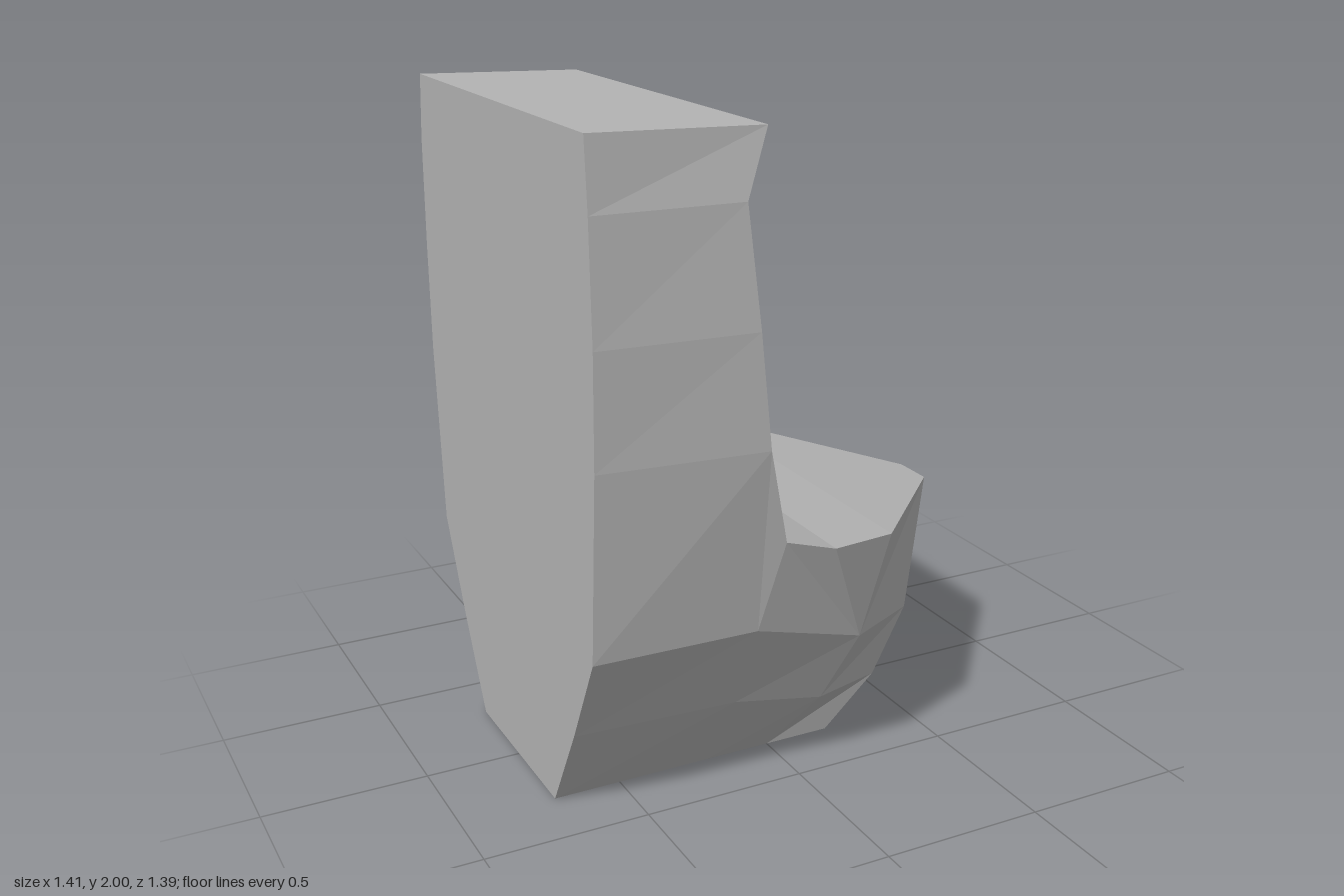
import * as THREE from 'three';

// Corner points: [x, y, z on the +z side, depth on the -z side]
const P = {
  // outer edge of the flat back
  a0: [-0.707, 0, 0.295, 0.3], a1: [-0.707, 0.285, 0.46, 0.46], a2: [-0.707, 0.57, 0.61, 0.605],
  a3: [-0.707, 1.13, 0.655, 0.65], a4: [-0.707, 1.46, 0.665, 0.655], a5: [-0.707, 1.8, 0.655, 0.65],
  a6: [-0.707, 2, 0.64, 0.63],
  // inner edge of the backrest
  b0: [-0.21, 0, 0.295, 0.3], b1: [-0.21, 0.285, 0.485, 0.475], b2: [-0.21, 0.57, 0.62, 0.62],
  b3: [-0.215, 1.13, 0.7, 0.695], b4: [-0.245, 1.46, 0.695, 0.685], b5: [-0.275, 1.8, 0.672, 0.655],
  b6: [-0.2, 1.985, 0.637, 0.625],
  // belly under the seat
  c0: [0, 0, 0.295, 0.3], c1: [0.08, 0.23, 0.48, 0.488], c2: [0.15, 0.46, 0.58, 0.5],
  // nose edge
  d0: [0.21, 0, 0.295, 0.3], d1: [0.36, 0.175, 0.328, 0.31], d2: [0.51, 0.35, 0.27, 0.275],
  d3: [0.705, 0.69, 0.07, 0.065],
  // seat rim
  r1: [-0.15, 0.845, 0.672, 0.66], r2: [0.01, 0.795, 0.668, 0.655], r3: [0.24, 0.77, 0.595, 0.595],
};

// Faces of one flank, counter-clockwise seen from +z
const FLANK = {
  backrestSide: ['a2 b2 b3 a3', 'a3 b3 b4 a4', 'a4 b4 b5 a5', 'a5 b5 b6 a6', 'b2 r1 b3'],
  baseSide: ['a0 b0 b1 a1', 'a1 b1 b2 a2', 'b0 c0 c1 b1', 'b1 c1 c2 b2', 'c0 d0 d1 c1', 'c1 d1 d2 c2'],
  seatSide: ['c2 d2 d3 r3 r2 r1 b2'],
};

// Bands that run across from flank to flank, following the outline
const BANDS = {
  underside: 'a0 b0 c0 d0',
  nose: 'd0 d1 d2 d3',
  seatTop: 'd3 r3 r2 r1',
  backrestFront: 'r1 b3 b4 b5 b6',
  backrestTop: 'b6 a6',
  back: 'a6 a5 a4 a3 a2 a1 a0',
};

const corner = (name, side) => {
  const [x, y, zl, zr] = P[name];
  return [x, y, side > 0 ? zl : -zr];
};

// Fan triangles for a list of polygons
function polygons(list) {
  const pos = [];
  for (const poly of list)
    for (let i = 1; i < poly.length - 1; i++) pos.push(...poly[0], ...poly[i], ...poly[i + 1]);
  const geo = new THREE.BufferGeometry();
  geo.setAttribute('position', new THREE.Float32BufferAttribute(pos, 3));
  geo.computeVertexNormals();
  return geo;
}

export function createModel() {
  const group = new THREE.Group();
  group.name = 'blockySeat';
  const grey = new THREE.MeshStandardMaterial({ color: 0xb4b4b4 });
  grey.name = 'plain grey';
  const add = (name, faces) => {
    const mesh = new THREE.Mesh(polygons(faces), grey);
    mesh.name = name;
    group.add(mesh);
  };

  // Both flanks, with the corner order turned on the -z side
  for (const side of [1, -1])
    for (const [name, faces] of Object.entries(FLANK))
      add(name + (side > 0 ? 'Front' : 'Rear'), faces.map((f) => {
        const pts = f.split(' ').map((n) => corner(n, side));
        return side > 0 ? pts : [pts[0], ...pts.slice(1).reverse()];
      }));

  // Bands between the flanks
  for (const [name, path] of Object.entries(BANDS)) {
    const n = path.split(' ');
    add(name, n.slice(1).map((next, i) =>
      [corner(n[i], 1), corner(n[i], -1), corner(next, -1), corner(next, 1)]));
  }
  return group;
}
